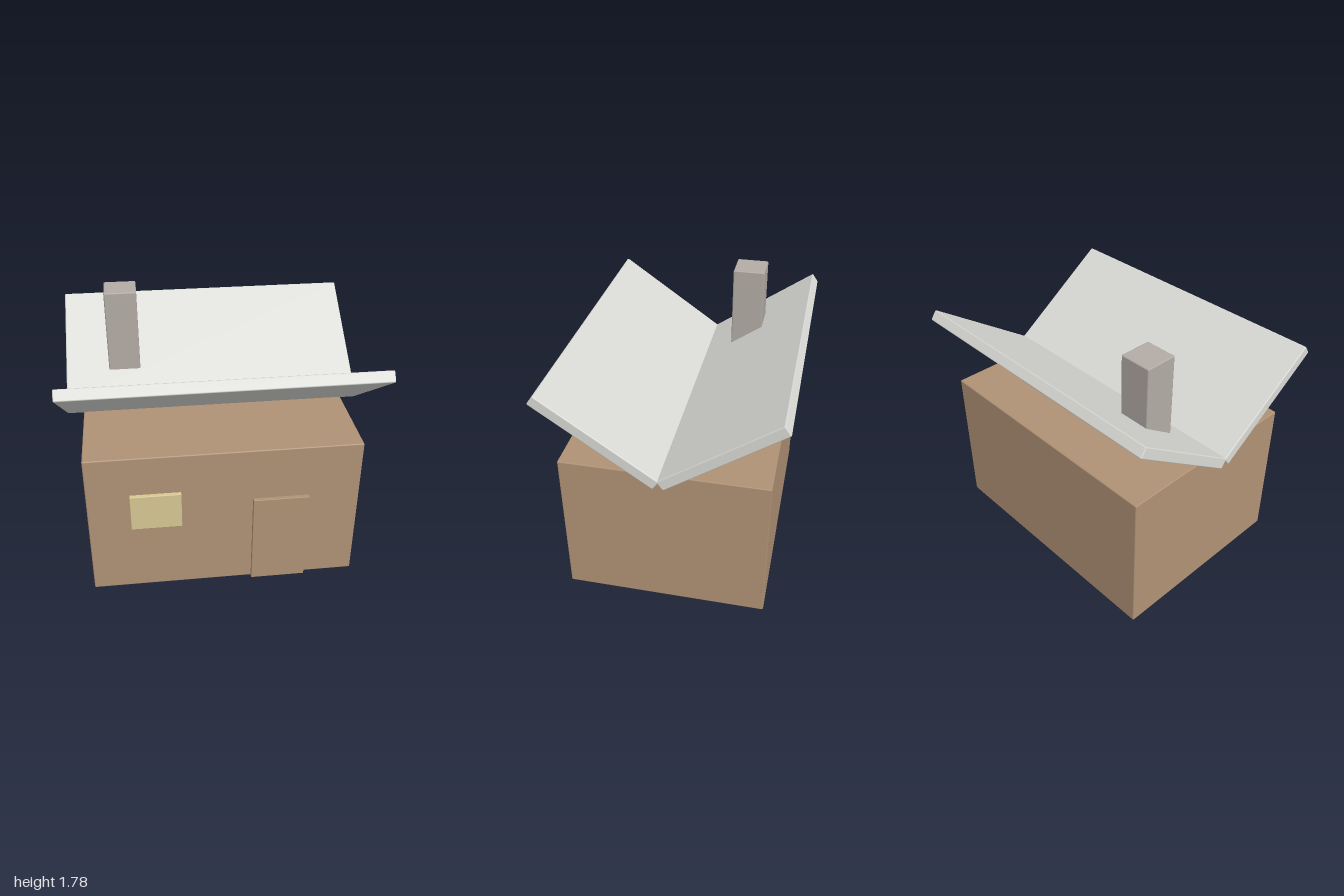
import * as THREE from 'three';
import { RoundedBoxGeometry } from 'three/addons/geometries/RoundedBoxGeometry.js';

const material = (name, color) => {
  const m = new THREE.MeshStandardMaterial({ color });
  m.name = name;
  return m;
};

export function createModel() {
  const timber = material('timber brown', 0xb09275);
  const slate = material('pale roof grey', 0xdadad6);
  const stone = material('chimney stone', 0xb4aca5);
  const glass = material('window yellow', 0xd8c893);

  const house = new THREE.Group();
  house.name = 'house';

  // Box with finely bevelled edges, given by size and centre
  const block = (name, mat, size, centre, bevel = 0.008) => {
    const mesh = new THREE.Mesh(new RoundedBoxGeometry(...size, 1, bevel), mat);
    mesh.name = name;
    mesh.position.set(...centre);
    house.add(mesh);
    return mesh;
  };

  block('walls', timber, [1.776, 1.037, 1.33], [0, 0.5185, 0]);

  // Door and window stand slightly proud of the front wall
  block('door', timber, [0.368, 0.667, 0.05], [0.367, 0.3335, 0.666], 0.004);
  block('window', glass, [0.33, 0.258, 0.05], [-0.448, 0.631, 0.666], 0.004);

  // Two roof slabs rising outward from the central valley
  for (const side of [1, -1]) {
    const slab = block(side > 0 ? 'frontRoofSlab' : 'backRoofSlab', slate,
      [2, 0.074, 0.883], [0, 1.2985, side * 0.3725]);
    slab.rotation.x = -side * THREE.MathUtils.degToRad(35);
  }

  // Chimney passing through the back slab
  block('chimney', stone, [0.216, 0.587, 0.216], [-0.597, 1.4835, -0.297]);

  return house;
}
